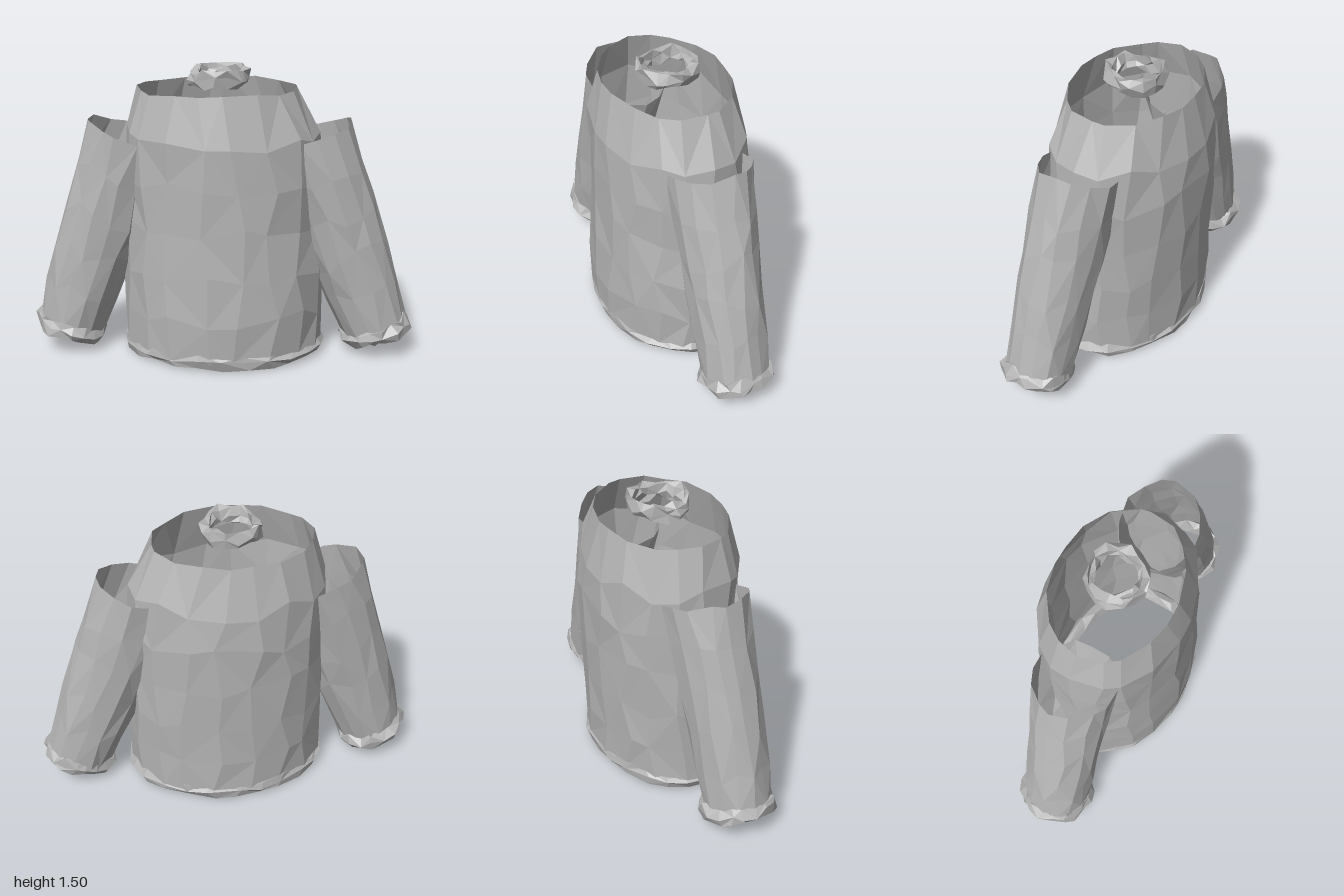
import * as THREE from 'three';

const knit = new THREE.MeshStandardMaterial({ color: 0xb4b4b4, flatShading: true, side: THREE.DoubleSide });
knit.name = 'grey knit';

// Seeded noise in -1..1
function noise(seed) {
  let s = seed;
  return () => {
    s = (s * 16807) % 2147483647;
    return (s / 2147483647) * 2 - 1;
  };
}

// Skin a grid of rows (each a closed loop of points); wrap also closes the rows into a ring
function skin(name, rows, wrap = false) {
  const n = rows[0].length, m = rows.length, index = [];
  for (let j = 0; j < (wrap ? m : m - 1); j++) {
    for (let i = 0; i < n; i++) {
      const a = j * n + i, b = j * n + (i + 1) % n;
      const c = ((j + 1) % m) * n + i, d = ((j + 1) % m) * n + (i + 1) % n;
      if ((i + j) % 2) index.push(a, c, b, b, c, d);
      else index.push(a, c, d, a, d, b);
    }
  }
  const geo = new THREE.BufferGeometry().setFromPoints(rows.flat());
  geo.setIndex(index);
  geo.computeVertexNormals();
  const mesh = new THREE.Mesh(geo, knit);
  mesh.name = name;
  return mesh;
}

// Point on a tilted ellipse: u is its long direction, z its other one
function onEllipse(center, u, ru, rz, angle) {
  return center.clone().addScaledVector(u, Math.cos(angle) * ru).add(new THREE.Vector3(0, 0, Math.sin(angle) * rz));
}

// Crumpled ribbed band: a torus around an ellipse with jittered vertices
function band(name, { center, u, axis, ru, rz, thick, high, sides, jitter, seed }) {
  const rnd = noise(seed), rows = [], ring = 6;
  for (let j = 0; j < ring; j++) {
    const t = -(j / ring) * Math.PI * 2, row = [];
    for (let i = 0; i < sides; i++) {
      const a = ((i + rnd() * 0.2) / sides) * Math.PI * 2;
      const out = Math.cos(t) * thick + rnd() * jitter;
      const p = onEllipse(center, u, ru + out, rz + out, a);
      row.push(p.addScaledVector(axis, Math.sin(t) * high + rnd() * jitter));
    }
    rows.push(row);
  }
  return skin(name, rows, true);
}

const X = new THREE.Vector3(1, 0, 0), Y = new THREE.Vector3(0, 1, 0);

// Open torso tube: rows of y, centre x, radius x, centre z, radius z
function torso() {
  const rnd = noise(71), sides = 18;
  const profile = [
    [1.4, -0.03, 0.405, -0.015, 0.305],
    [1.17, -0.005, 0.495, -0.015, 0.365],
    [0.95, 0, 0.51, -0.022, 0.375],
    [0.72, 0, 0.51, -0.018, 0.375],
    [0.48, 0.005, 0.515, -0.005, 0.378],
    [0.26, 0.005, 0.52, 0, 0.38],
    [0.06, 0.005, 0.515, 0, 0.372],
  ];
  const rows = profile.map(([y, cx, rx, cz, rz], j) => {
    const edge = j === 0 || j === profile.length - 1;
    return Array.from({ length: sides }, (_, i) => {
      const a = ((i + rnd() * 0.22) / sides) * Math.PI * 2, r = 1 + rnd() * 0.018;
      return new THREE.Vector3(cx + Math.cos(a) * rx * r, y + rnd() * (edge ? 0.012 : 0.04), cz + Math.sin(a) * rz * r);
    });
  });
  return skin('torso', rows);
}

// Tilted open sleeve with its cuff; side is +1 for the left arm
function arm(side, seed) {
  const group = new THREE.Group();
  group.name = side > 0 ? 'leftArm' : 'rightArm';
  const top = new THREE.Vector3(side * (side > 0 ? 0.43 : 0.475), 1.16, -0.015);
  const end = new THREE.Vector3(side * 0.8, 0.14, 0.01);
  const axis = top.clone().sub(end).normalize();
  const u = new THREE.Vector3(side * 0.95, 0.31, 0).normalize();
  const rnd = noise(seed), sides = 14, steps = 5, rows = [];
  for (let j = 0; j <= steps; j++) {
    const t = j / steps, bulge = Math.sin(t * Math.PI) * 0.012, row = [];
    const c = top.clone().lerp(end, t);
    for (let i = 0; i < sides; i++) {
      const a = ((i + rnd() * 0.2) / sides) * Math.PI * 2, r = 1 + rnd() * 0.04;
      const p = onEllipse(c, u, (0.228 - 0.052 * t + bulge) * r, (0.208 - 0.04 * t) * r, a);
      row.push(p.addScaledVector(axis, rnd() * (j % steps ? 0.05 : 0.012)));
    }
    rows.push(row);
  }
  group.add(skin('sleeve', rows));
  group.add(band('cuff', {
    center: new THREE.Vector3(side * 0.805, 0.13, 0.01), u, axis,
    ru: 0.158, rz: 0.158, thick: 0.036, high: 0.045, sides: 18, jitter: 0.017, seed: seed + 9,
  }));
  return group;
}

export function createModel() {
  const model = new THREE.Group();
  model.name = 'sweater';
  model.add(torso(), arm(1, 311), arm(-1, 977));
  // Rolled hem
  model.add(band('hem', {
    center: new THREE.Vector3(0.005, 0.055, 0), u: X, axis: Y,
    ru: 0.488, rz: 0.348, thick: 0.034, high: 0.042, sides: 24, jitter: 0.012, seed: 4242,
  }));
  // Loose neck ring
  model.add(band('collar', {
    center: new THREE.Vector3(-0.018, 1.452, -0.022), u: X, axis: Y,
    ru: 0.132, rz: 0.132, thick: 0.025, high: 0.042, sides: 15, jitter: 0.018, seed: 1234,
  }));
  return model;
}
